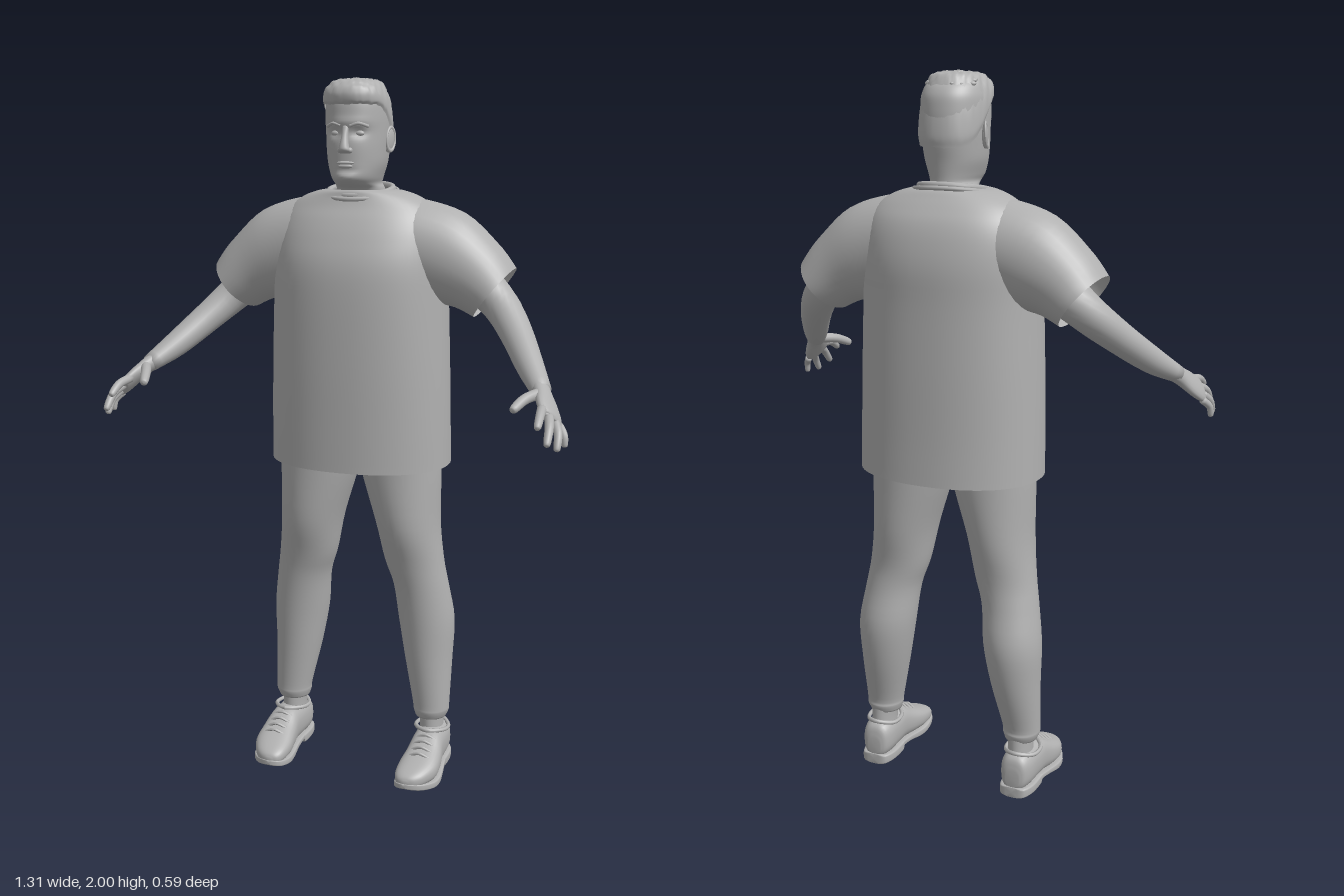
import * as THREE from 'three';

const grey = new THREE.MeshStandardMaterial({ color: 0xb0b0b0, side: THREE.DoubleSide });
grey.name = 'plain grey';
const V = (a) => new THREE.Vector3(a[0], a[1], a[2]);

// Smooth skin through sections [x, y, z, radiusA, radiusB]; radiusA lies along "side".
function loft(sections, { side = [1, 0, 0], axis = null, n = 2, seg = 32, steps = 4, caps = [true, true] } = {}) {
  const path = new THREE.CatmullRomCurve3(sections.map(V), false, 'catmullrom', 0.5);
  const radii = new THREE.CatmullRomCurve3(sections.map((s) => new THREE.Vector3(s[3], s[4], 0)), false, 'catmullrom', 0.5);
  const rows = (sections.length - 1) * steps;
  const pos = [], idx = [];
  for (let i = 0; i <= rows; i++) {
    const c = path.getPoint(i / rows), r = radii.getPoint(i / rows);
    const t = axis ? V(axis) : path.getTangent(i / rows);
    const a = V(side).addScaledVector(t, -V(side).dot(t)).normalize();
    const b = t.clone().cross(a);
    for (let j = 0; j < seg; j++) {
      const q = (j / seg) * Math.PI * 2, co = Math.cos(q), si = Math.sin(q);
      const u = Math.sign(co) * Math.abs(co) ** (2 / n) * Math.max(r.x, 0.0005);
      const v = Math.sign(si) * Math.abs(si) ** (2 / n) * Math.max(r.y, 0.0005);
      pos.push(c.x + a.x * u + b.x * v, c.y + a.y * u + b.y * v, c.z + a.z * u + b.z * v);
      if (i < rows) {
        const k = i * seg + j, l = i * seg + ((j + 1) % seg);
        idx.push(k, l, l + seg, k, l + seg, k + seg);
      }
    }
  }
  [0, rows].forEach((row, e) => {
    if (!caps[e]) return;
    const m = pos.length / 3;
    pos.push(...path.getPoint(e).toArray());
    for (let j = 0; j < seg; j++) {
      const k = row * seg + j, l = row * seg + ((j + 1) % seg);
      idx.push(m, e ? k : l, e ? l : k);
    }
  });
  const g = new THREE.BufferGeometry();
  g.setAttribute('position', new THREE.Float32BufferAttribute(pos, 3));
  g.setIndex(idx);
  g.computeVertexNormals();
  return g;
}

// Upright skin from [y, halfWidth, zFront, zBack]
const upright = (rows, opts) => loft(rows.map(([y, rx, f, b]) => [0, y, (f + b) / 2, rx, (f - b) / 2]),
  { axis: [0, 1, 0], ...opts });
// Skin running along z from [z, x, halfWidth, yLow, yHigh]
const lengthwise = (rows, opts) => loft(rows.map(([z, x, w, lo, hi]) => [x, (lo + hi) / 2, z, w, (hi - lo) / 2]),
  { axis: [0, 0, 1], ...opts });

function warp(g, rule) {
  const p = g.attributes.position, v = new THREE.Vector3();
  for (let i = 0; i < p.count; i++) {
    v.fromBufferAttribute(p, i);
    rule(v);
    p.setXYZ(i, v.x, v.y, v.z);
  }
  g.computeVertexNormals();
  return g;
}

function mirrored(g) {
  const m = g.clone().scale(-1, 1, 1), ix = m.index.array;
  for (let i = 0; i < ix.length; i += 3) [ix[i], ix[i + 1]] = [ix[i + 1], ix[i]];
  m.computeVertexNormals();
  return m;
}

const tube = (pts, r, closed = false) =>
  new THREE.TubeGeometry(new THREE.CatmullRomCurve3(pts.map(V), closed), 32, r, 8, closed);
const ball = (x, y, z, rx, ry, rz) => new THREE.SphereGeometry(1, 20, 14).scale(rx, ry, rz).translate(x, y, z);
const bump = (x, w) => Math.exp(-((x / w) ** 2));

export function createModel() {
  const model = new THREE.Group();
  model.name = 'standingMan';
  const add = (name, g) => {
    const m = new THREE.Mesh(g, grey);
    m.name = name;
    model.add(m);
  };
  const pair = (name, g) => { add(name + 'Left', g); add(name + 'Right', mirrored(g)); };

  // Loose shirt, open at the hem
  const shirt = upright([[0.93, 0.262, 0.095, -0.295], [1.05, 0.26, 0.096, -0.29], [1.22, 0.256, 0.097, -0.286],
    [1.4, 0.25, 0.094, -0.281], [1.5, 0.248, 0.085, -0.28], [1.57, 0.243, 0.062, -0.268], [1.62, 0.228, 0.038, -0.25],
    [1.655, 0.203, 0.016, -0.226], [1.68, 0.165, 0.004, -0.205], [1.694, 0.125, 0, -0.192], [1.7, 0.09, -0.005, -0.18]],
  { n: 2.2, seg: 56, caps: [false, false] });
  add('shirtBody', shirt);
  const ring = (r, y, tilt) => Array.from({ length: 16 }, (_, i) => {
    const q = (i / 16) * Math.PI * 2;
    return [Math.sin(q) * r, y - Math.cos(q) * tilt, -0.092 + Math.cos(q) * r];
  });
  add('collar', tube(ring(0.088, 1.698, 0.013), 0.009, true));
  add('collarSeam', tube(ring(0.102, 1.69, 0.014), 0.006, true));

  // Sleeves, open at the cuff
  pair('sleeve', loft([[0.1, 1.56, -0.105, 0.12, 0.115], [0.15, 1.55, -0.105, 0.128, 0.118], [0.24, 1.518, -0.108, 0.132, 0.115],
    [0.32, 1.475, -0.11, 0.108, 0.108], [0.383, 1.425, -0.112, 0.087, 0.108]],
  { side: [0, 1, 0], caps: [true, false] }));

  // Arms
  pair('arm', loft([[0.22, 1.53, -0.12, 0.058, 0.06], [0.33, 1.45, -0.13, 0.057, 0.06], [0.4, 1.39, -0.112, 0.05, 0.052],
    [0.46, 1.325, -0.05, 0.043, 0.045], [0.52, 1.255, 0.04, 0.036, 0.037], [0.567, 1.208, 0.115, 0.024, 0.028]],
  { side: [0, 1, 0], seg: 24 }));

  // Hands: palm, four fingers and thumb
  pair('palm', loft([[0.555, 1.22, 0.095, 0.026, 0.024], [0.574, 1.2, 0.125, 0.03, 0.021], [0.594, 1.175, 0.158, 0.042, 0.019],
    [0.61, 1.153, 0.188, 0.042, 0.016], [0.614, 1.147, 0.198, 0.03, 0.009]], { side: [0.5, -0.62, -0.6], seg: 20 }));
  const digits = {
    thumb: [[0.572, 1.205, 0.13], [0.542, 1.197, 0.185], [0.52, 1.175, 0.24], 0.014],
    indexFinger: [[0.588, 1.178, 0.195], [0.594, 1.17, 0.245], [0.597, 1.145, 0.29], 0.0115],
    middleFinger: [[0.606, 1.16, 0.195], [0.617, 1.14, 0.24], [0.62, 1.1, 0.28], 0.0115],
    ringFinger: [[0.62, 1.143, 0.183], [0.635, 1.118, 0.215], [0.638, 1.08, 0.24], 0.011],
    littleFinger: [[0.628, 1.13, 0.165], [0.644, 1.11, 0.182], [0.648, 1.08, 0.188], 0.0095],
  };
  for (const [name, [a, b, c, r]] of Object.entries(digits)) {
    const tip = V(b).lerp(V(c), 0.85).toArray();
    pair(name, loft([[...a, r * 1.1, r * 1.1], [...b, r, r], [...tip, r * 0.8, r * 0.8], [...c, 0.001, 0.001]],
      { side: [0.3, 1, 0.2], seg: 12 }));
  }

  // Trousers: [y, x, halfWidth, z, halfDepth]
  const legRows = [[0.155, 0.22, 0.046, -0.107, 0.048], [0.175, 0.221, 0.053, -0.107, 0.055], [0.2, 0.22, 0.055, -0.107, 0.055],
    [0.33, 0.207, 0.07, -0.121, 0.075], [0.45, 0.198, 0.082, -0.125, 0.086], [0.56, 0.184, 0.081, -0.11, 0.081],
    [0.64, 0.165, 0.087, -0.1, 0.086], [0.757, 0.147, 0.093, -0.093, 0.108], [0.92, 0.123, 0.118, -0.093, 0.114],
    [1.02, 0.118, 0.118, -0.093, 0.115]];
  pair('trouserLeg', loft(legRows.map(([y, x, w, z, d]) => [x, y, z, w, d]), { axis: [0, 1, 0], seg: 36 }));
  pair('ankle', loft([[0.222, 0.07, -0.115, 0.036, 0.05], [0.222, 0.13, -0.113, 0.034, 0.048], [0.22, 0.2, -0.11, 0.038, 0.045]],
    { axis: [0, 1, 0] }));

  // Shoes
  pair('shoeUpper', lengthwise([[-0.182, 0.224, 0.02, 0.03, 0.08], [-0.172, 0.224, 0.037, 0.018, 0.115], [-0.14, 0.225, 0.047, 0.016, 0.128],
    [-0.09, 0.227, 0.047, 0.016, 0.128], [-0.045, 0.229, 0.048, 0.016, 0.126], [0, 0.23, 0.054, 0.012, 0.103],
    [0.05, 0.227, 0.057, 0.012, 0.082], [0.095, 0.219, 0.045, 0.016, 0.066], [0.117, 0.214, 0.028, 0.02, 0.054],
    [0.125, 0.212, 0.008, 0.028, 0.042]], { n: 2.5 }));
  pair('shoeSole', lengthwise([[-0.186, 0.224, 0.018, 0, 0.03], [-0.178, 0.224, 0.038, 0, 0.03], [-0.14, 0.225, 0.05, 0, 0.03],
    [-0.085, 0.226, 0.05, 0, 0.03], [-0.075, 0.227, 0.05, 0.013, 0.03], [-0.03, 0.23, 0.054, 0.009, 0.027],
    [0.02, 0.23, 0.06, 0, 0.023], [0.06, 0.226, 0.059, 0.001, 0.024], [0.1, 0.218, 0.045, 0.009, 0.03],
    [0.12, 0.213, 0.027, 0.016, 0.034], [0.128, 0.211, 0.007, 0.021, 0.034]], { n: 6, steps: 3 }));
  pair('shoeOpening', tube([[0.227, 0.128, -0.042], [0.27, 0.122, -0.08], [0.268, 0.118, -0.13], [0.225, 0.128, -0.165],
    [0.182, 0.118, -0.13], [0.183, 0.122, -0.08]], 0.006, true));
  for (let i = 0; i < 4; i++) {
    const z = -0.03 + i * 0.022, y = 0.121 - i * 0.0095;
    pair('shoelace' + (i + 1), tube([[0.2, y - 0.012, z], [0.229, y, z + 0.004], [0.258, y - 0.012, z]], 0.0045));
  }

  // Neck and head with brow, eye hollows and jaw
  const head = upright([[1.6, 0.075, -0.02, -0.17], [1.68, 0.067, -0.024, -0.166], [1.703, 0.064, -0.014, -0.165],
    [1.717, 0.06, 0.018, -0.165], [1.735, 0.066, 0.036, -0.166], [1.77, 0.077, 0.035, -0.17], [1.81, 0.082, 0.036, -0.177],
    [1.85, 0.085, 0.034, -0.182], [1.9, 0.086, 0.036, -0.182], [1.94, 0.082, 0.03, -0.174], [1.97, 0.064, 0.008, -0.145],
    [1.985, 0.01, -0.06, -0.08]], { n: 2.15, seg: 64, steps: 6 });
  add('head', warp(head, (p) => {
    if (p.z < -0.02 || p.y < 1.71) return;
    p.z -= 0.011 * bump(Math.abs(p.x) - 0.033, 0.02) * bump(p.y - 1.852, 0.013);
    p.z += 0.005 * bump(p.x, 0.06) * bump(p.y - 1.878, 0.012);
    p.z += 0.005 * bump(p.x, 0.025) * bump(p.y - 1.733, 0.014);
    p.z -= 0.005 * bump(p.x, 0.03) * bump(p.y - 1.752, 0.008);
  }));
  add('nose', loft([[0, 1.872, 0.03, 0.009, 0.007], [0, 1.845, 0.037, 0.009, 0.011], [0, 1.818, 0.044, 0.013, 0.014],
    [0, 1.806, 0.044, 0.016, 0.014], [0, 1.798, 0.038, 0.01, 0.008]], { axis: [0, 1, 0], seg: 20 }));
  pair('nostril', ball(0.013, 1.806, 0.037, 0.008, 0.008, 0.01));
  pair('eye', ball(0.033, 1.85, 0.014, 0.014, 0.008, 0.009));
  pair('eyebrow', tube([[0.013, 1.87, 0.035], [0.035, 1.876, 0.03], [0.058, 1.868, 0.013]], 0.0045));
  add('upperLip', ball(0, 1.773, 0.035, 0.025, 0.005, 0.008));
  add('lowerLip', ball(0, 1.764, 0.034, 0.021, 0.006, 0.008));
  pair('ear', ball(0, 0, 0, 0.008, 0.034, 0.02).rotateX(-0.2).rotateY(-0.3).translate(0.086, 1.832, -0.078));
  pair('earRim', new THREE.TorusGeometry(1, 0.18, 8, 24).scale(0.019, 0.031, 0.02).rotateY(Math.PI / 2 - 0.3)
    .rotateX(-0.2).translate(0.09, 1.834, -0.079));

  // Short hair, low at the nape and rough on the crown
  const hair = upright([[1.925, 0.086, 0.037, -0.184], [1.935, 0.09, 0.044, -0.187], [1.955, 0.086, 0.046, -0.18],
    [1.975, 0.073, 0.035, -0.162], [1.989, 0.05, 0.008, -0.13], [1.994, 0.005, -0.055, -0.07]],
  { n: 2.3, seg: 72, steps: 6, caps: [false, true] });
  add('hair', warp(hair, (p) => {
    const back = THREE.MathUtils.smoothstep(-p.z, 0.0, 0.17), low = Math.max(0, 1 - (p.y - 1.925) / 0.06);
    const rough = 0.002 * Math.sin(p.x * 210 + p.z * 90) * Math.sin(p.z * 240 - p.x * 60);
    p.y += rough - 0.12 * back * low;
    p.x += rough * Math.sign(p.x) * (1 - low);
  }));
  let seed = 7;
  const rnd = () => (seed = (seed * 16807) % 2147483647) / 2147483647;
  for (let i = 0; i < 50; i++) {
    const q = rnd() * Math.PI * 2, r = Math.sqrt(rnd()) * 0.95, s = 0.005 + rnd() * 0.004;
    const y = 1.99 - 0.037 * r ** 3;
    add('hairTuft' + i, new THREE.IcosahedronGeometry(s, 1).scale(1.4, 0.8, 1)
      .rotateY(q).translate(Math.cos(q) * r * 0.078, y, -0.067 + Math.sin(q) * r * 0.1));
  }
  return model;
}
